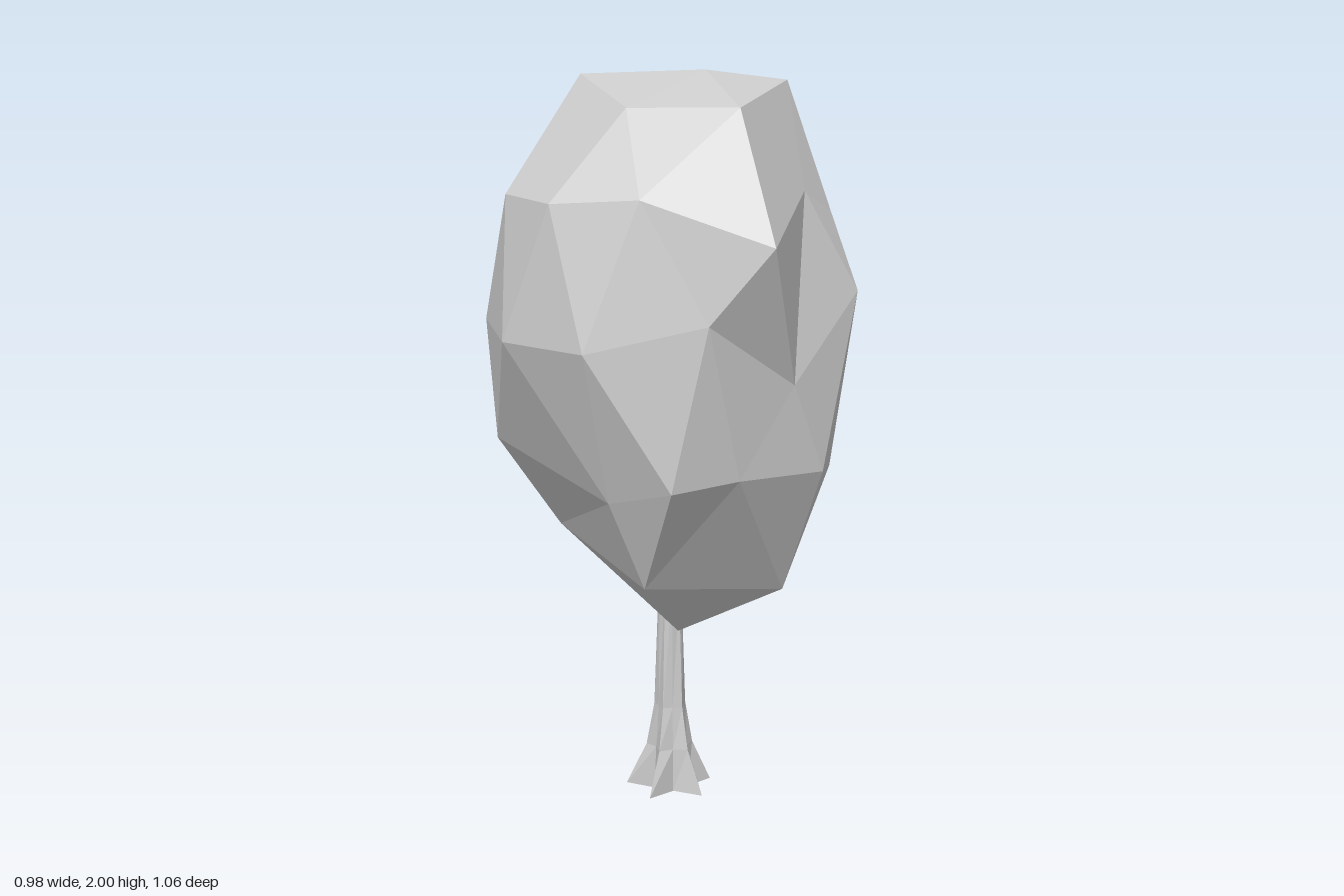
import * as THREE from 'three';
import { ConvexGeometry } from 'three/addons/geometries/ConvexGeometry.js';

// Crown corners, grouped in rings from top to bottom
const crownRings = [
  [[0.09, 2, 0.03], [0.315, 1.97, 0.02], [0, 1.97, -0.25], [-0.22, 1.98, -0.165], [-0.15, 1.915, 0.2], [0.13, 1.92, 0.31]],
  [[0.42, 1.725, -0.33], [0.13, 1.615, -0.53], [-0.18, 1.71, -0.42], [-0.36, 1.67, -0.25], [-0.45, 1.68, 0.045],
    [-0.365, 1.68, 0.29], [-0.15, 1.7, 0.42], [0.18, 1.585, 0.53], [0.33, 1.69, 0.18], [0.425, 1.62, 0.085]],
  [[0.47, 1.31, -0.13], [0.3, 1.33, -0.36], [-0.06, 1.375, -0.51], [-0.27, 1.31, -0.37], [-0.49, 1.32, -0.13],
    [-0.48, 1.31, 0.2], [-0.3, 1.31, 0.43], [0.015, 1.385, 0.5], [0.27, 1.2, 0.355], [0.485, 1.415, 0.155]],
  [[0.36, 0.96, -0.24], [0.17, 0.97, -0.42], [-0.2, 1.03, -0.33], [-0.25, 0.87, -0.17], [-0.47, 1, -0.06],
    [-0.22, 0.895, 0.33], [-0.08, 0.95, 0.49], [0.11, 0.965, 0.43], [0.36, 0.955, 0.305], [0.45, 0.9, 0]],
  [[-0.3, 0.755, -0.04], [-0.12, 0.65, 0.3], [0.28, 0.6, 0.18], [-0.08, 0.64, -0.24], [0, 0.48, 0.13]],
];

// Corners are joined on a unit sphere, then moved to their true places,
// which keeps the hollows in the foliage
function crownGeometry() {
  const corners = crownRings.flat().map((p) => new THREE.Vector3(...p));
  const onSphere = corners.map((p) =>
    new THREE.Vector3(p.x / 0.5, (p.y - 1.22) / 0.76, p.z / 0.5).normalize());
  const geometry = new ConvexGeometry(onSphere);
  const pos = geometry.attributes.position;
  const v = new THREE.Vector3();
  for (let i = 0; i < pos.count; i++) {
    v.fromBufferAttribute(pos, i);
    let best = 0;
    onSphere.forEach((d, k) => {
      if (d.distanceToSquared(v) < onSphere[best].distanceToSquared(v)) best = k;
    });
    pos.setXYZ(i, corners[best].x, corners[best].y, corners[best].z);
  }
  geometry.computeVertexNormals();
  return geometry;
}

// Ten-sided trunk whose alternate edges flare into five roots
function trunkGeometry() {
  const rows = [ // height, radius along a root, radius between roots
    [0.57, 0.034, 0.034], [0.24, 0.046, 0.037], [0.12, 0.068, 0.045], [0, 0.125, 0.05],
  ];
  const sides = 10;
  const geometry = new THREE.CylinderGeometry(1, 1, 3, sides, 3);
  const pos = geometry.attributes.position;
  const turn = THREE.MathUtils.degToRad(55);
  for (let i = 0; i < pos.count; i++) {
    const x = pos.getX(i), z = pos.getZ(i);
    const [y, root, gap] = rows[Math.round(1.5 - pos.getY(i))];
    const side = Math.round((Math.atan2(z, x) - Math.PI / 2) / (2 * Math.PI / sides));
    const radius = Math.hypot(x, z) < 0.5 ? 0 : side % 2 === 0 ? root : gap;
    const angle = turn + side * 2 * Math.PI / sides;
    pos.setXYZ(i, -0.005 + radius * Math.cos(angle), y, 0.035 + radius * Math.sin(angle));
  }
  geometry.computeVertexNormals();
  return geometry;
}

export function createModel() {
  const material = new THREE.MeshStandardMaterial({ color: 0xcccccc, flatShading: true });
  const group = new THREE.Group();
  group.name = 'tree';
  const addPart = (name, geometry) => {
    const mesh = new THREE.Mesh(geometry, material);
    mesh.name = name;
    group.add(mesh);
  };
  addPart('crown', crownGeometry());
  addPart('trunk', trunkGeometry());
  return group;
}
